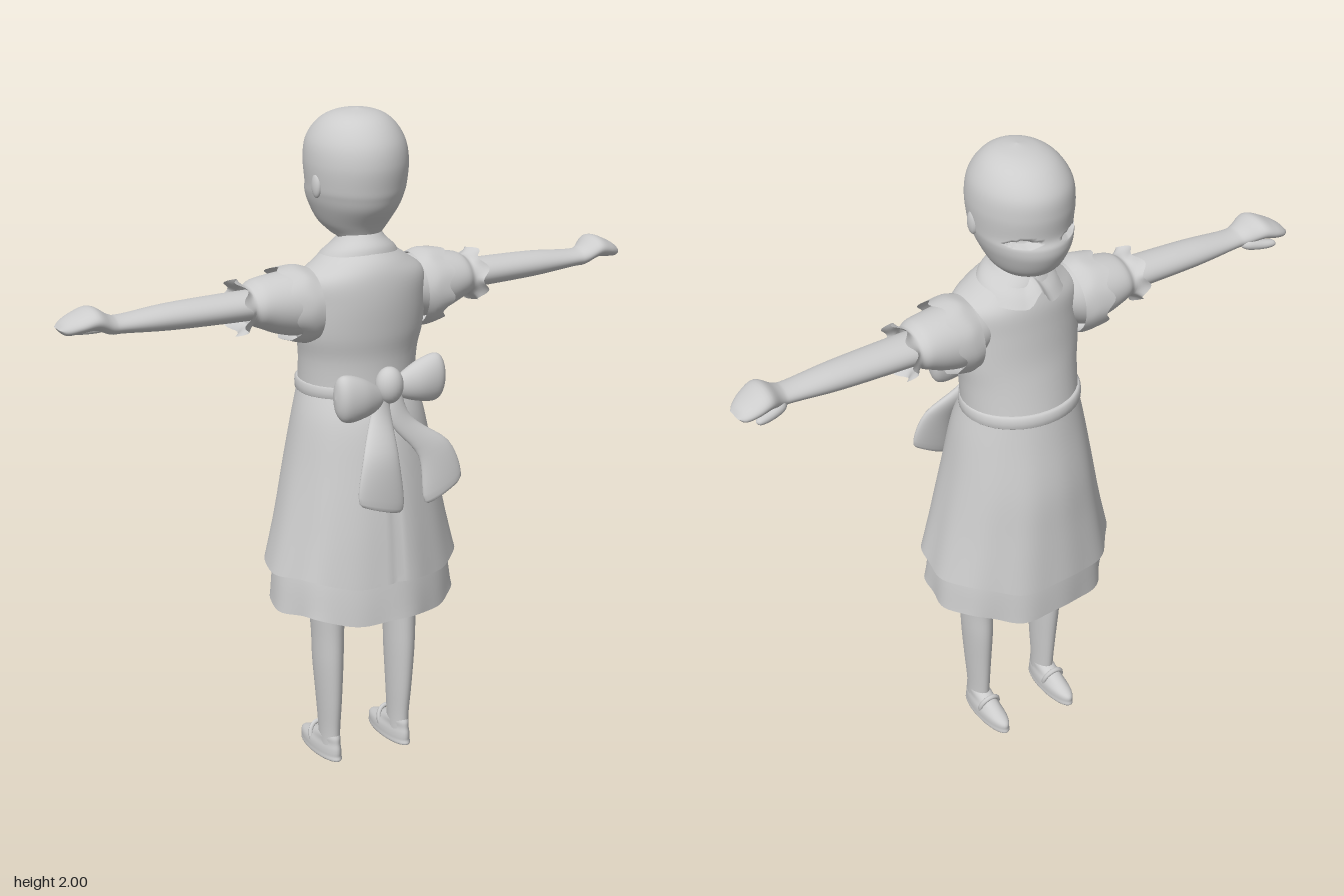
import * as THREE from 'three';

const grey = new THREE.MeshStandardMaterial({ color: 0xcccccc, side: THREE.DoubleSide });
grey.name = 'plain grey';

// Smooth tube through elliptical sections [t, uMin, uMax, vMin, vMax], t rising.
// axis 'y': t = y, u = x, v = z.  axis 'x': t = x, u = y, v = z.
// shape(p, a, k) may move each vertex; k runs 0..1 along t, a = 0 is +z (axis y) or +y (axis x).
function loft(axis, sections, { seg = 40, sub = 5, shape } = {}) {
  const pos = [], index = [], rows = (sections.length - 1) * sub;
  const at = (i) => sections[Math.max(0, Math.min(sections.length - 1, i))];
  const p = new THREE.Vector3();
  for (let r = 0; r <= rows; r++) {
    const i = Math.min(Math.floor(r / sub), sections.length - 2), f = r / sub - i;
    const [t, u0, u1, v0, v1] = at(i).map((b, c) => {
      const a = at(i - 1)[c], d = at(i + 1)[c], e = at(i + 2)[c];
      return b + 0.5 * f * (d - a + f * (2 * a - 5 * b + 4 * d - e + f * (3 * (b - d) + e - a)));
    });
    for (let j = 0; j < seg; j++) {
      const a = (j / seg) * Math.PI * 2, s = Math.sin(a), c = Math.cos(a);
      const cu = (u0 + u1) / 2, ru = (u1 - u0) / 2, cv = (v0 + v1) / 2, rv = (v1 - v0) / 2;
      if (axis === 'y') p.set(cu + ru * s, t, cv + rv * c);
      else p.set(t, cu + ru * c, cv + rv * s);
      if (shape) shape(p, a, r / rows);
      pos.push(p.x, p.y, p.z);
    }
  }
  for (let r = 0; r < rows; r++) for (let j = 0; j < seg; j++) {
    const a = r * seg + j, b = r * seg + (j + 1) % seg;
    index.push(a, b, b + seg, a, b + seg, a + seg);
  }
  const g = new THREE.BufferGeometry();
  g.setAttribute('position', new THREE.Float32BufferAttribute(pos, 3));
  g.setIndex(index);
  g.computeVertexNormals();
  return g;
}

function mirrored(geometry) {
  const g = geometry.clone(), ix = g.index.array, pos = g.attributes.position;
  for (let i = 0; i < pos.count; i++) pos.setX(i, -pos.getX(i));
  for (let i = 0; i < ix.length; i += 3) [ix[i + 1], ix[i + 2]] = [ix[i + 2], ix[i + 1]];
  g.computeVertexNormals();
  return g;
}

export function createModel() {
  const model = new THREE.Group();
  const add = (name, geometry) => {
    const mesh = new THREE.Mesh(geometry, grey);
    mesh.name = name;
    model.add(mesh);
    return mesh;
  };
  const pair = (name, geometry) => [add(name + 'Left', geometry), add(name + 'Right', mirrored(geometry))];
  const sym = (t, w, z0, z1) => [t, -w, w, z0, z1];

  // Head and neck, with narrow eye slits pressed into the face
  add('head', loft('y', [
    sym(1.55, 0.055, -0.08, 0.04), sym(1.62, 0.058, -0.085, 0.045), sym(1.638, 0.072, -0.14, 0.048),
    sym(1.67, 0.1, -0.183, 0.066), sym(1.72, 0.125, -0.21, 0.103), sym(1.755, 0.137, -0.214, 0.118),
    sym(1.785, 0.142, -0.204, 0.125), sym(1.85, 0.147, -0.209, 0.132), sym(1.91, 0.138, -0.2, 0.12),
    sym(1.96, 0.107, -0.158, 0.085), sym(1.988, 0.063, -0.1, 0.04), sym(2, 0, -0.025, -0.025),
  ], {
    seg: 80, sub: 8, shape(p) {
      const e = ((Math.abs(p.x) - 0.075) / 0.034) ** 2 + ((p.y - 1.776) / 0.01) ** 2;
      if (p.z < 0 && e < 1) p.z += 0.03;
    },
  }));
  const ear = new THREE.SphereGeometry(1, 16, 12);
  ear.scale(0.012, 0.036, 0.022).translate(0.139, 1.79, -0.015);
  pair('ear', ear);

  // Bodice
  add('bodice', loft('y', [
    sym(1.17, 0.178, -0.198, 0.118), sym(1.28, 0.183, -0.172, 0.115), sym(1.36, 0.197, -0.155, 0.125),
    sym(1.45, 0.2, -0.145, 0.13), sym(1.52, 0.195, -0.138, 0.125), sym(1.565, 0.14, -0.125, 0.11),
    sym(1.6, 0.09, -0.11, 0.08), sym(1.63, 0.055, -0.085, 0.045),
  ]));
  add('waistband', loft('y', [
    sym(1.17, 0.175, -0.195, 0.11), sym(1.175, 0.184, -0.205, 0.122),
    sym(1.205, 0.184, -0.203, 0.122), sym(1.21, 0.175, -0.19, 0.11),
  ], { sub: 2 }));

  // Round collar, lower at the face side and split there
  add('collar', loft('y', [
    sym(1.58, 0.128, -0.155, 0.088), sym(1.61, 0.108, -0.135, 0.08),
    sym(1.635, 0.08, -0.11, 0.06), sym(1.65, 0.068, -0.092, 0.048),
  ], {
    seg: 64, shape(p, a, k) {
      p.y -= 0.02 * (1 - Math.cos(a));
      p.y += 0.05 * Math.exp(-(((a - Math.PI) / 0.17) ** 2)) * (1 - k);
    },
  }));

  // Puffed sleeves with frilled cuffs
  pair('sleeve', loft('x', [
    [0.12, 1.4, 1.54, -0.1, 0.07], [0.2, 1.36, 1.55, -0.122, 0.075], [0.27, 1.37, 1.545, -0.122, 0.068],
    [0.33, 1.395, 1.535, -0.115, 0.058], [0.36, 1.405, 1.52, -0.103, 0.045], [0.39, 1.38, 1.54, -0.122, 0.06],
  ], {
    seg: 60, shape(p, a, k) {
      const w = Math.max(0, (k - 0.8) / 0.2);
      p.x += 0.012 * w * Math.sin(7 * a);
    },
  }));

  // Apron frills around the armholes
  pair('shoulderFrill', loft('x', [
    [0.17, 1.34, 1.555, -0.13, 0.1], [0.205, 1.335, 1.565, -0.138, 0.102], [0.25, 1.345, 1.56, -0.142, 0.098],
  ], {
    seg: 60, shape(p, a, k) {
      p.x += k * (0.012 * Math.sin(8 * a) + 0.012 * Math.cos(a));
    },
  }));

  // Arms, mitten hands and thumbs
  pair('arm', loft('x', [
    [0.3, 1.42, 1.505, -0.095, 0.03], [0.4, 1.42, 1.505, -0.095, 0.028], [0.6, 1.425, 1.5, -0.09, 0.018],
    [0.74, 1.436, 1.488, -0.08, 0.008], [0.78, 1.438, 1.494, -0.082, 0.01], [0.825, 1.455, 1.52, -0.11, 0.02],
    [0.87, 1.45, 1.505, -0.115, 0.008], [0.905, 1.447, 1.485, -0.105, -0.015], [0.922, 1.465, 1.465, -0.085, -0.04],
  ]));
  pair('thumb', loft('x', [
    [0.765, 1.45, 1.45, -0.07, -0.07], [0.785, 1.435, 1.468, -0.092, -0.055],
    [0.83, 1.43, 1.46, -0.105, -0.07], [0.865, 1.433, 1.453, -0.108, -0.083], [0.875, 1.443, 1.443, -0.095, -0.095],
  ], { seg: 16 }));

  // Underskirt and apron skirt, with folds that deepen toward the hem
  const folds = (depth, hem) => (p, a, k) => {
    const w = (1 - k) ** 1.5;
    const r = 1 + depth * w * (Math.sin(7 * a + 0.6) + 0.6 * Math.sin(12 * a));
    p.x *= r;
    p.z *= r;
    p.y += hem * Math.max(0, 1 - k * 5) * (Math.sin(6 * a + 1) - Math.cos(2 * a));
  };
  add('underskirt', loft('y', [
    sym(0.515, 0.282, -0.25, 0.225), sym(0.64, 0.268, -0.245, 0.212), sym(0.78, 0.23, -0.225, 0.185),
  ], { seg: 96, shape: folds(0.018, 0.007) }));
  const apronFolds = folds(0.014, 0.007);
  add('apronSkirt', loft('y', [
    sym(0.635, 0.294, -0.268, 0.23), sym(0.8, 0.257, -0.255, 0.212), sym(0.95, 0.226, -0.243, 0.19),
    sym(1.1, 0.198, -0.215, 0.158), sym(1.19, 0.174, -0.198, 0.115),
  ], {
    seg: 96, shape(p, a, k) {
      apronFolds(p, a, k);
      if (a === 0) p.z -= 0.008; // closing line down the back
    },
  }));

  // Legs and strap shoes
  pair('leg', loft('y', [
    [0.03, 0.092, 0.148, -0.035, 0.058], [0.1, 0.092, 0.148, -0.04, 0.06], [0.2, 0.088, 0.155, -0.048, 0.07],
    [0.32, 0.083, 0.164, -0.058, 0.077], [0.42, 0.08, 0.168, -0.06, 0.078], [0.55, 0.074, 0.177, -0.07, 0.08],
    [0.8, 0.06, 0.18, -0.08, 0.08],
  ], { seg: 28 }));
  pair('shoe', loft('y', [
    [0, 0.12, 0.12, -0.045, -0.045], [0.002, 0.087, 0.153, -0.148, 0.064], [0.02, 0.084, 0.156, -0.157, 0.07],
    [0.04, 0.085, 0.155, -0.152, 0.07], [0.058, 0.09, 0.15, -0.11, 0.066], [0.075, 0.092, 0.148, -0.062, 0.064],
    [0.088, 0.096, 0.144, -0.03, 0.058],
  ], { seg: 36 }));
  const strap = new THREE.TorusGeometry(0.032, 0.006, 8, 28);
  strap.scale(1, 1.25, 1.4).rotateX(-0.35).translate(0.12, 0.048, -0.052);
  pair('shoeStrap', strap);

  // Sash bow: two loops, a knot and two hanging tails
  const loops = pair('bowLoop', loft('x', [
    [0.01, 1.225, 1.225, 0.165, 0.165], [0.035, 1.185, 1.25, 0.14, 0.185], [0.09, 1.165, 1.285, 0.128, 0.208],
    [0.145, 1.16, 1.302, 0.13, 0.21], [0.17, 1.185, 1.285, 0.14, 0.195], [0.178, 1.235, 1.235, 0.167, 0.167],
  ], { seg: 28 }));
  loops[1].position.y = -0.025;
  const knot = new THREE.SphereGeometry(1, 24, 16);
  knot.scale(0.042, 0.055, 0.04).translate(0, 1.225, 0.165);
  add('bowKnot', knot);
  const tail = (name, x0, x1, y0, slope, z) => {
    const mid = (x0 + x1) / 2, dir = Math.sign(mid);
    const g = loft('y', [
      [y0, mid, mid, z, z], [y0 + 0.008, x0, x1, z - 0.016, z + 0.016],
      [1.03, x0 * 0.82 + dir * 0.004, x1 * 0.82 + dir * 0.004, z - 0.036, z + 0.002],
      [1.14, dir * 0.032 - 0.034, dir * 0.032 + 0.034, 0.155, 0.19],
      [1.22, dir * 0.02 - 0.018, dir * 0.02 + 0.018, 0.15, 0.175],
    ], { seg: 28, shape(p, a, k) { p.y += slope * (p.x - mid) * (1 - k); } });
    add(name, g);
  };
  tail('bowTailRight', -0.145, -0.002, 0.885, -0.38, 0.252);
  tail('bowTailLeft', 0.09, 0.212, 0.89, 0.65, 0.218);

  return model;
}
